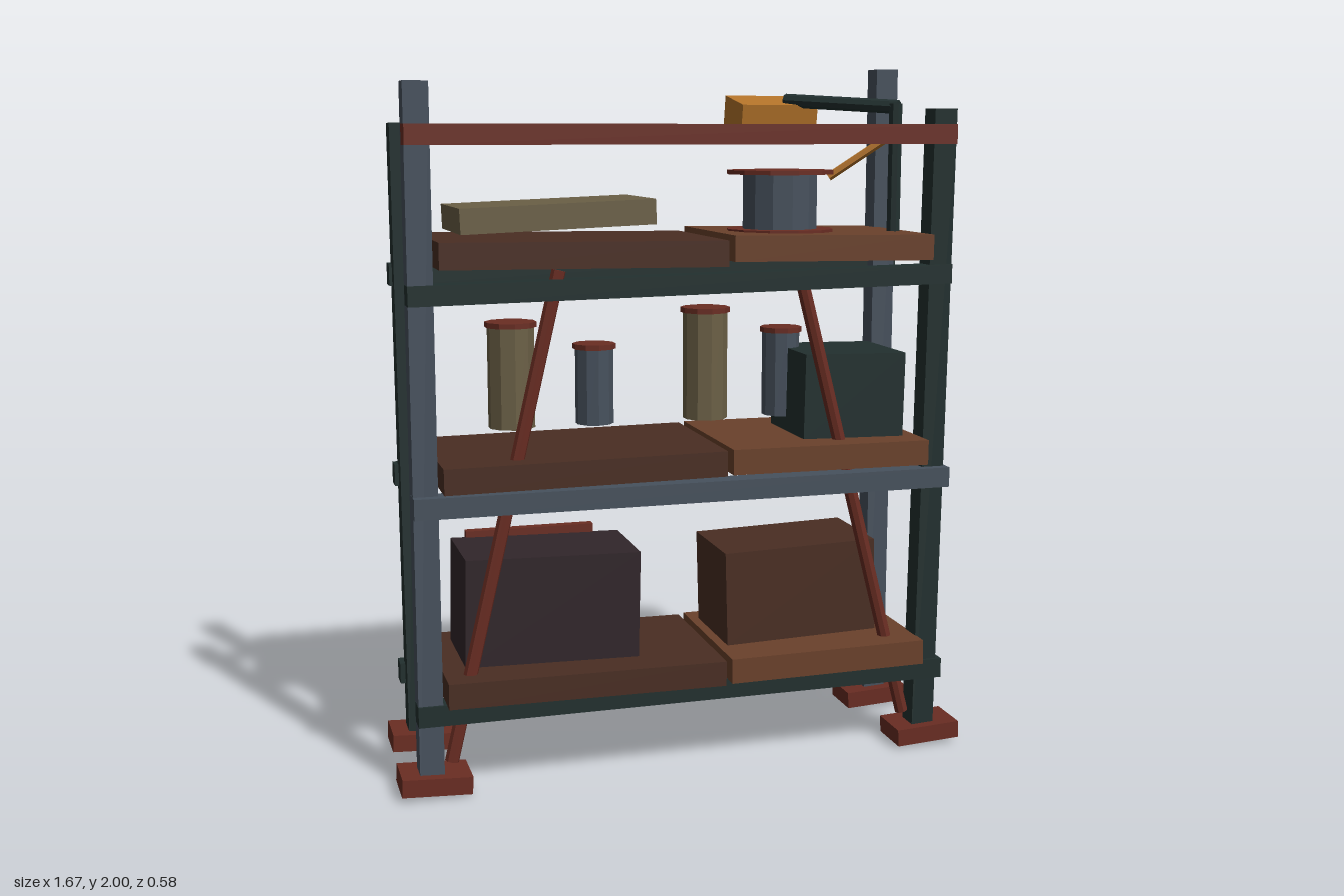
import * as THREE from 'three';

const mat = (name, color) => {
  const m = new THREE.MeshStandardMaterial({ color });
  m.name = name;
  return m;
};

export function createModel() {
  const root = new THREE.Group();
  root.name = 'storageRack';

  const steel = mat('blue steel', 0x47515d);
  const dark = mat('dark teal steel', 0x22302f);
  const red = mat('rust red', 0x6a2d23);
  const darkWood = mat('dark wood', 0x4a2e23);
  const lightWood = mat('light wood', 0x6a412b);
  const olive = mat('olive', 0x6b6046);
  const amber = mat('amber', 0xb5742a);
  const plum = mat('dark plum', 0x31262a);

  const add = (name, geo, m, pos, parent = root) => {
    const mesh = new THREE.Mesh(geo, m);
    mesh.name = name;
    mesh.position.set(...pos);
    parent.add(mesh);
    return mesh;
  };
  // Box with size, centre and a tilt about z (degrees)
  const box = (name, m, size, pos, tilt = 0) => {
    const mesh = add(name, new THREE.BoxGeometry(...size), m, pos);
    mesh.rotation.z = THREE.MathUtils.degToRad(tilt);
    return mesh;
  };
  // Faceted cylinder standing at a height
  const drum = (name, m, r, y0, y1, x, z, sides) => {
    const geo = new THREE.CylinderGeometry(r, r, y1 - y0, sides).toNonIndexed();
    geo.computeVertexNormals();
    return add(name, geo, m, [x, (y0 + y1) / 2, z]);
  };
  // Faceted rod between two points
  const rod = (name, m, a, b, r, sides = 8) => {
    const A = new THREE.Vector3(...a), B = new THREE.Vector3(...b);
    const dir = B.clone().sub(A);
    const mesh = drum(name, m, r, 0, dir.length(), 0, 0, sides);
    mesh.position.copy(A).add(B).multiplyScalar(0.5);
    mesh.quaternion.setFromUnitVectors(new THREE.Vector3(0, 1, 0), dir.normalize());
    return mesh;
  };

  // Posts: material, bottom x, top x, z, top height
  const posts = [
    ['frontRightPost', steel, -0.745, -0.745, 0.203, 1.945],
    ['frontLeftPost', dark, 0.727, 0.752, 0.203, 1.88],
    ['backRightPost', dark, -0.73, -0.74, -0.148, 1.84],
    ['backLeftPost', steel, 0.722, 0.722, -0.148, 2.0],
  ];
  for (const [name, m, x0, x1, z, top] of posts) {
    const tilt = THREE.MathUtils.radToDeg(Math.atan2(x0 - x1, top));
    box(name, m, [0.068, top - 0.003, 0.068], [(x0 + x1) / 2, top / 2 + 0.001, z], tilt);
  }

  // Feet, splayed a little
  for (const side of [-1, 1]) {
    box('frontFoot', red, [0.195, 0.05, 0.135], [side * 0.735, 0.038, 0.2], side * 3);
    box('backFoot', red, [0.195, 0.05, 0.135], [side * 0.718, 0.038, -0.148], side * 3);
  }

  // Front and back rails
  box('frontLowerRail', dark, [1.56, 0.058, 0.065], [0, 0.233, 0.212]);
  box('frontMiddleRail', steel, [1.56, 0.058, 0.065], [0, 0.82, 0.232]);
  box('frontUpperRail', dark, [1.56, 0.055, 0.065], [0, 1.4, 0.212], 0.9);
  box('topRail', red, [1.56, 0.055, 0.065], [0, 1.808, 0.222]);
  box('backLowerRail', dark, [1.56, 0.062, 0.055], [0, 0.235, -0.184], 0.3);
  box('backMiddleRail', dark, [1.56, 0.062, 0.055], [0, 0.835, -0.184], 0.3);
  box('backUpperRail', dark, [1.56, 0.062, 0.055], [0, 1.42, -0.184], 0.5);

  // Two shelf boards per level
  for (const [y, tiltA, tiltB] of [[0.293, -0.5, 0.5], [0.897, 0.5, -0.3], [1.49, -0.6, -0.7]]) {
    box('rightShelfBoard', darkWood, [0.795, 0.072, 0.485], [-0.303, y, 0.036], tiltA);
    box('leftShelfBoard', lightWood, [0.592, 0.072, 0.485], [0.405, y + 0.006, 0.044], tiltB);
  }

  // Diagonal braces
  rod('rightBrace', red, [-0.685, 0.085, 0.2], [-0.366, 1.445, 0.2], 0.02);
  rod('leftBrace', red, [0.675, 0.095, 0.2], [0.332, 1.42, 0.2], 0.02);

  // Bottom level crates
  box('plumCrate', plum, [0.502, 0.308, 0.275], [-0.382, 0.487, 0.03], -1.2);
  box('crateHandle', red, [0.38, 0.05, 0.03], [-0.395, 0.638, -0.115]);
  box('woodCrate', darkWood, [0.462, 0.275, 0.285], [0.357, 0.483, 0.035], 1.6);

  // Canisters with lids
  for (const [x, r, top, m] of [[-0.462, 0.067, 1.275, olive], [-0.22, 0.055, 1.205, steel],
    [0.115, 0.065, 1.3, olive], [0.35, 0.055, 1.235, steel]]) {
    drum('canister', m, r, 0.985, top, x, -0.005, 10);
    drum('canisterLid', red, r + 0.007, top - 0.003, top + 0.012, x, -0.005, 10);
  }

  // Tool box with a handle on its back
  box('toolBox', dark, [0.308, 0.245, 0.28], [0.505, 1.063, 0.06], -1);
  box('toolBoxHandle', amber, [0.235, 0.045, 0.03], [0.505, 1.065, -0.093], -1);

  // Flat box on the top level
  box('flatBox', olive, [0.545, 0.07, 0.33], [-0.355, 1.588, 0.01], 2.2);

  // Cable spool with a loose end
  drum('spoolCore', steel, 0.108, 1.53, 1.7, 0.32, 0.055, 12);
  drum('spoolBase', red, 0.155, 1.528, 1.54, 0.32, 0.055, 12);
  drum('spoolTop', red, 0.155, 1.695, 1.707, 0.32, 0.055, 12);
  rod('cableEnd', amber, [0.47, 1.685, 0.055], [0.615, 1.79, 0.112], 0.012, 6);

  // Work lamp
  rod('lampStem', dark, [0.65, 1.53, 0.115], [0.65, 1.895, 0.115], 0.02);
  rod('lampArm', dark, [0.657, 1.885, 0.118], [0.41, 1.907, -0.15], 0.02);
  const head = new THREE.Group();
  head.name = 'lampHead';
  head.position.set(0.378, 1.853, -0.196);
  head.rotation.x = 0.18;
  root.add(head);
  add('lampHousing', new THREE.BoxGeometry(0.235, 0.112, 0.168), amber, [0, 0, 0], head);
  add('lampLens', new THREE.BoxGeometry(0.19, 0.009, 0.125), amber, [0, -0.059, 0], head);

  return root;
}
